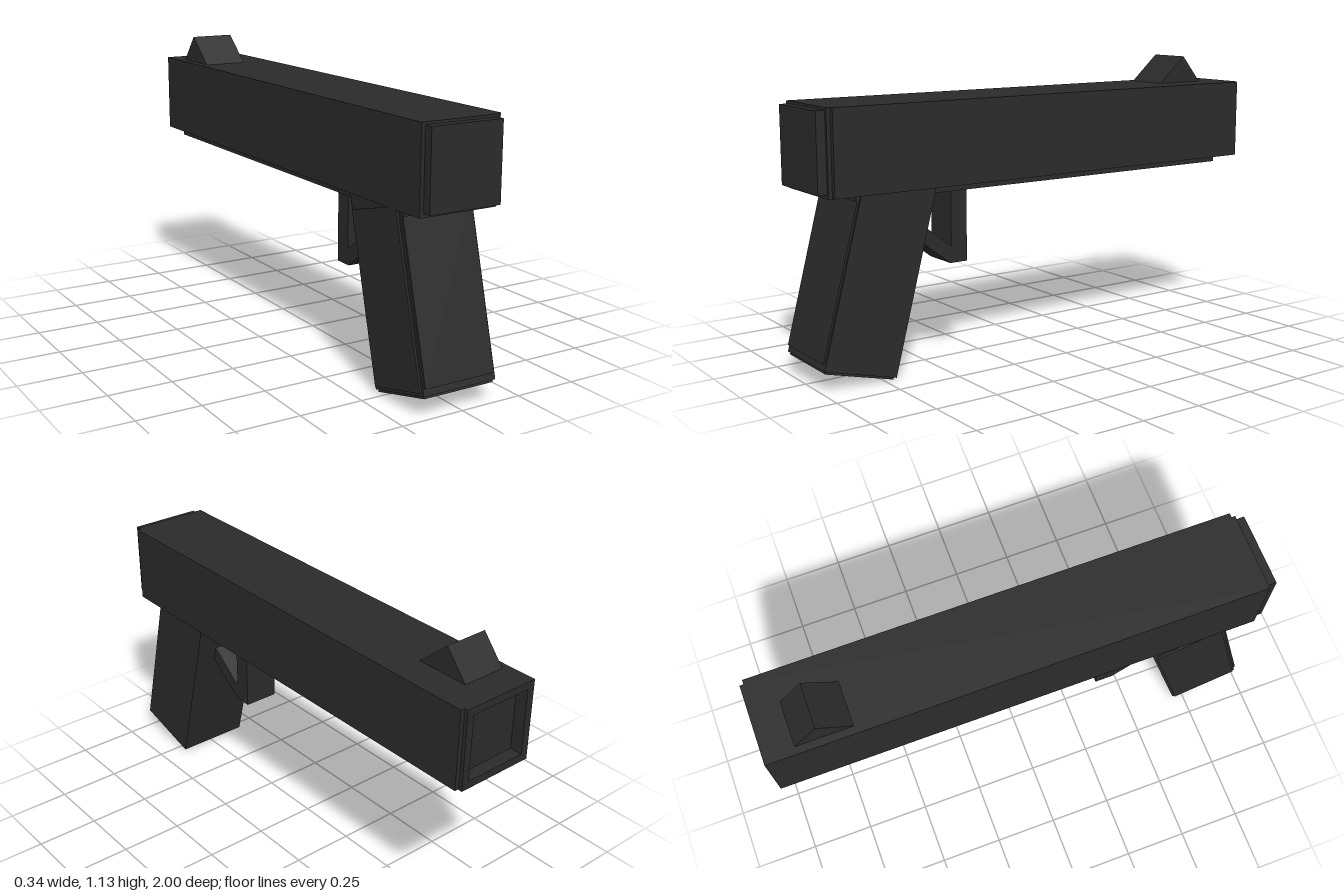
import * as THREE from 'three';

export function createModel() {
  const model = new THREE.Group();
  const mat = new THREE.MeshStandardMaterial({ color: 0x2b2b2b, flatShading: true });

  function add(name, geometry, parent = model) {
    const mesh = new THREE.Mesh(geometry, mat);
    mesh.name = name;
    parent.add(mesh);
    return mesh;
  }
  // Box given by its limits on each axis
  function block(name, [x0, x1], [y0, y1], [z0, z1], parent) {
    const g = new THREE.BoxGeometry(x1 - x0, y1 - y0, z1 - z0);
    g.translate((x0 + x1) / 2, (y0 + y1) / 2, (z0 + z1) / 2);
    return add(name, g, parent);
  }
  // Side profile in (z, y), extruded across x
  function prism(name, points, x0, x1) {
    const shape = new THREE.Shape(points.map(([z, y]) => new THREE.Vector2(z, y)));
    const g = new THREE.ExtrudeGeometry(shape, { depth: x1 - x0, bevelEnabled: false });
    g.rotateY(-Math.PI / 2).translate(x1, 0, 0);
    return add(name, g);
  }
  function rect(Type, x0, x1, y0, y1) {
    return new Type([[x0, y0], [x1, y0], [x1, y1], [x0, y1]].map(p => new THREE.Vector2(...p)));
  }

  // Long square body with thin raised plates
  block('body', [-0.17, 0.15], [0.70, 1.02], [-0.95, 0.96]);
  block('sidePlate', [0.15, 0.168], [0.703, 1.02], [-0.985, 0.945]);
  block('endPlate', [-0.155, 0.14], [0.715, 1.01], [0.96, 0.995]);
  block('underPlate', [-0.155, 0.14], [0.68, 0.70], [-0.88, 0.85]);

  // Square rim around the shallow recess at the muzzle
  const rim = rect(THREE.Shape, -0.17, 0.15, 0.70, 1.02);
  rim.holes.push(rect(THREE.Path, -0.14, 0.12, 0.73, 0.99));
  add('muzzleRim', new THREE.ExtrudeGeometry(rim, { depth: 0.05, bevelEnabled: false }).translate(0, 0, -1));

  // Wedge sight on top
  prism('sight', [[-0.88, 1.02], [-0.66, 1.02], [-0.787, 1.13]], -0.14, 0.04);

  // Leaning grip with inset-edged panels on its faces
  const grip = new THREE.Group();
  grip.name = 'grip';
  grip.position.set(0, 0.048, 0.85);
  grip.rotation.x = -THREE.MathUtils.degToRad(14.7);
  model.add(grip);
  block('gripCore', [-0.16, 0.147], [0, 0.74], [-0.15, 0.148], grip);
  block('gripBackPanel', [-0.155, 0.14], [0.025, 0.65], [0.148, 0.156], grip);
  block('gripSidePanel', [-0.168, -0.16], [0.012, 0.65], [-0.14, 0.138], grip);
  block('gripBasePlate', [-0.155, 0.14], [-0.009, 0], [-0.142, 0.14], grip);

  // Upright post and slanted brace of the guard
  prism('triggerGuard', [
    [0.335, 0.70], [0.335, 0.385], [0.41, 0.385], [0.62, 0.545],
    [0.62, 0.615], [0.405, 0.45], [0.405, 0.70],
  ], -0.09, 0.055);

  return model;
}
